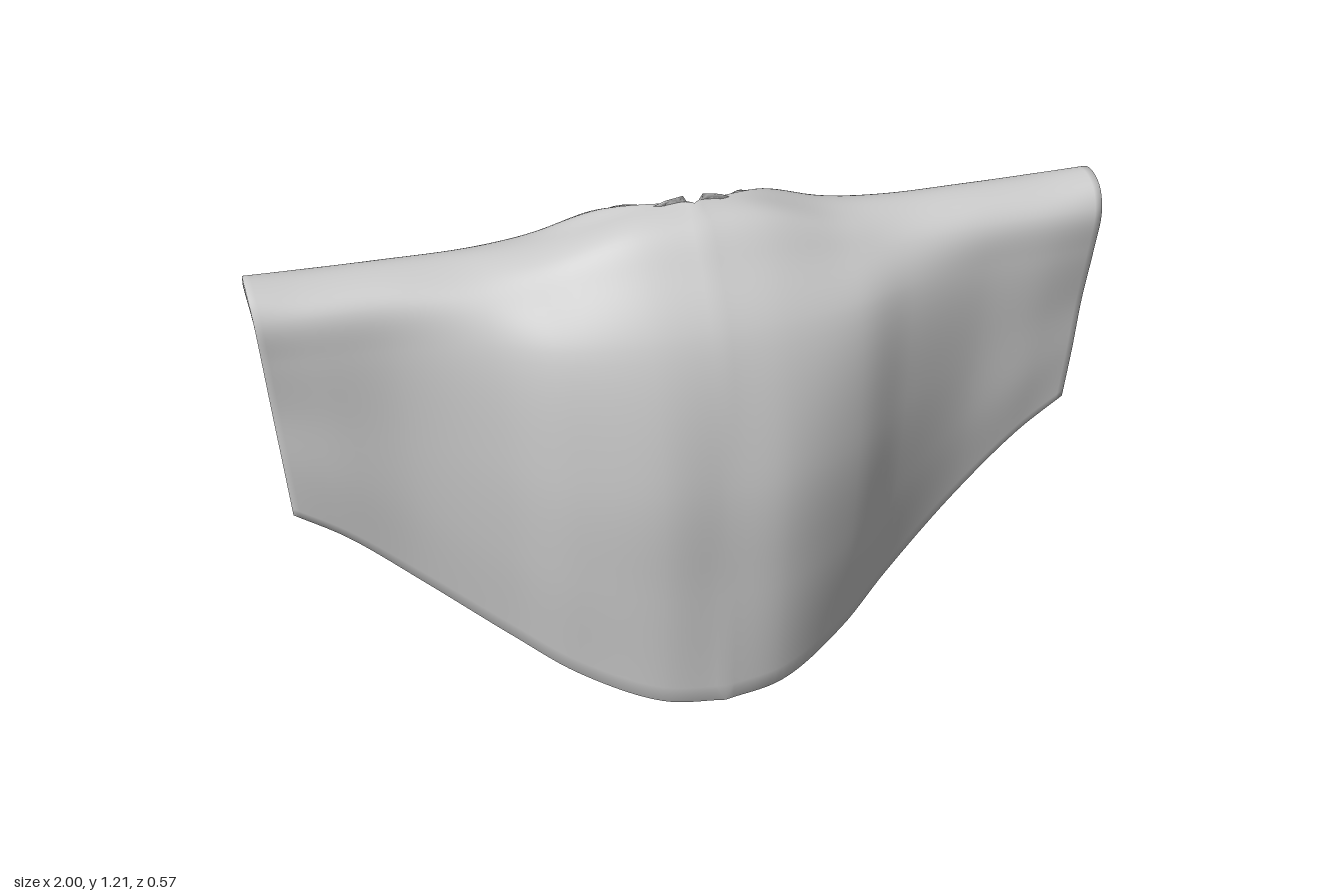
import * as THREE from 'three';
import { mergeVertices } from 'three/addons/utils/BufferGeometryUtils.js';

const COLS = 42, ROWS = 72, THICK = 0.014;

// Front of each section, centre to side:
// u, hem y, hem z, bulge z, chest z, lower shoulder y z, upper shoulder y z
const FRONT = [
  [0.00, 0.005, 0.27, 0.282, 0.228, 1.10, 0.135, 1.175, 0.070],
  [0.16, 0.02, 0.25, 0.282, 0.218, 1.09, 0.125, 1.165, 0.055],
  [0.35, 0.075, 0.16, 0.220, 0.175, 1.06, 0.09, 1.11, 0.030],
  [0.50, 0.16, 0.08, 0.135, 0.11, 1.05, 0.06, 1.092, 0.005],
  [0.70, 0.31, 0.02, 0.055, 0.055, 1.05, 0.04, 1.092, 0.0],
  [0.88, 0.46, 0.005, 0.03, 0.04, 1.05, 0.035, 1.092, 0.0],
  [1.00, 0.54, 0.0, 0.01, 0.025, 1.05, 0.03, 1.10, 0.0],
];

// Ridge and back flap of each section, as x y z from ridge to back hem
const BACK = [
  [0, 1.2, 0.01, 0.07, 1.19, -0.02, 0.17, 1.13, -0.15, 0.24, 0.9, -0.245, 0.31, 0.52, -0.28],
  [0.13, 1.185, -0.02, 0.19, 1.165, -0.09, 0.24, 1.08, -0.2, 0.3, 0.85, -0.255, 0.36, 0.44, -0.285],
  [0.33, 1.125, -0.06, 0.36, 1.1, -0.14, 0.38, 1.0, -0.22, 0.4, 0.75, -0.262, 0.45, 0.46, -0.28],
  [0.5, 1.11, -0.07, 0.5, 1.085, -0.14, 0.5, 1.0, -0.21, 0.53, 0.8, -0.25, 0.57, 0.55, -0.27],
  [0.7, 1.11, -0.07, 0.7, 1.09, -0.13, 0.7, 1.03, -0.185, 0.71, 0.87, -0.22, 0.73, 0.69, -0.245],
  [0.88, 1.112, -0.06, 0.87, 1.1, -0.115, 0.87, 1.06, -0.155, 0.87, 0.97, -0.185, 0.87, 0.87, -0.21],
  [1, 1.12, -0.055, 0.998, 1.115, -0.09, 0.99, 1.1, -0.11, 0.985, 1.08, -0.13, 0.975, 1.05, -0.15],
];

// One section running from front hem, over the shoulder, to back hem
function sectionPoints(f, b) {
  const [u, hemY, hemZ, bulge, chest, y1, z1, y2, z2] = f;
  const at = (y, z) => new THREE.Vector3(u * Math.max(0.945, 0.902 + 0.0875 * y), y, z);
  const yAt = (t) => THREE.MathUtils.lerp(hemY, 0.95, t);
  const points = [
    at(hemY, hemZ),
    at(yAt(0.33), THREE.MathUtils.lerp(hemZ, bulge, 0.75)),
    at(yAt(0.66), bulge),
    at(0.95, chest),
    at(y1, z1),
    at(y2, z2),
  ];
  for (let i = 0; i < b.length; i += 3) points.push(new THREE.Vector3(b[i], b[i + 1], b[i + 2]));
  return points;
}

// Both halves of the cloth as one sheet, joined down the front only
function clothSheet() {
  const sections = FRONT.map((f, i) => sectionPoints(f, BACK[i]));
  const across = sections[0].map((_, k) => new THREE.CatmullRomCurve3(sections.map((s) => s[k])));
  const positions = [], index = [];
  for (const side of [1, -1]) {
    const base = positions.length / 3;
    for (let i = 0; i <= COLS; i++) {
      const profile = new THREE.CatmullRomCurve3(across.map((c) => c.getPoint(i / COLS)));
      for (let j = 0; j <= ROWS; j++) {
        const p = profile.getPoint(j / ROWS);
        const x = i === 0 && p.x < 0.001 ? 0 : Math.max(0, p.x);
        positions.push(side * x, p.y, p.z);
      }
    }
    for (let i = 0; i < COLS; i++) {
      for (let j = 0; j < ROWS; j++) {
        const a = base + i * (ROWS + 1) + j, b = a + ROWS + 1;
        if (side > 0) index.push(a, b, b + 1, a, b + 1, a + 1);
        else index.push(a, b + 1, b, a, a + 1, b + 1);
      }
    }
  }
  const geometry = new THREE.BufferGeometry();
  geometry.setAttribute('position', new THREE.Float32BufferAttribute(positions, 3));
  geometry.setIndex(index);
  const merged = mergeVertices(geometry, 1e-5);
  merged.computeVertexNormals();
  return merged;
}

// Give a sheet thickness: inner copy plus a rim along every open edge
function thicken(sheet, depth) {
  const pos = sheet.attributes.position, nor = sheet.attributes.normal;
  const n = pos.count, src = Array.from(sheet.index.array);
  const positions = Array.from(pos.array);
  for (let i = 0; i < n; i++) {
    positions.push(
      pos.getX(i) - nor.getX(i) * depth,
      pos.getY(i) - nor.getY(i) * depth,
      pos.getZ(i) - nor.getZ(i) * depth
    );
  }
  const index = [...src], edges = new Set();
  for (let i = 0; i < src.length; i += 3) {
    const t = [src[i], src[i + 1], src[i + 2]];
    index.push(t[0] + n, t[2] + n, t[1] + n);
    for (let k = 0; k < 3; k++) edges.add(t[k] * n + t[(k + 1) % 3]);
  }
  for (const e of edges) {
    const a = Math.floor(e / n), b = e % n;
    if (a !== b && !edges.has(b * n + a)) index.push(b, a, a + n, b, a + n, b + n);
  }
  const geometry = new THREE.BufferGeometry();
  geometry.setAttribute('position', new THREE.Float32BufferAttribute(positions, 3));
  geometry.setIndex(index);
  geometry.computeVertexNormals();
  return geometry;
}

export function createModel() {
  const group = new THREE.Group();
  group.name = 'shoulderCape';
  const material = new THREE.MeshStandardMaterial({ color: 0xcccccc, side: THREE.DoubleSide });
  const cloth = new THREE.Mesh(thicken(clothSheet(), THICK), material);
  cloth.name = 'drapedCloth';
  group.add(cloth);
  return group;
}
